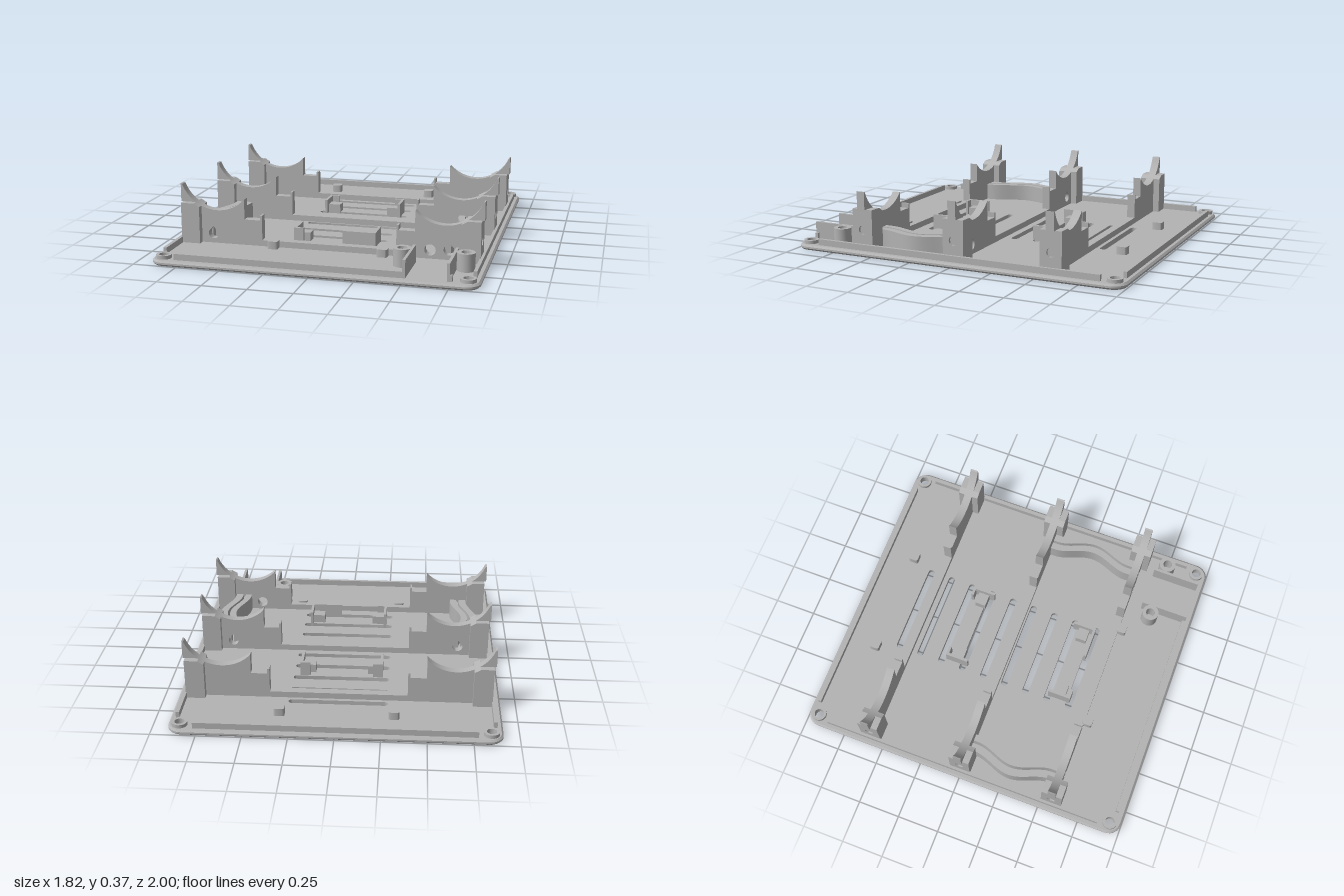
import * as THREE from 'three';
import { toCreasedNormals } from 'three/addons/utils/BufferGeometryUtils.js';

const grey = new THREE.MeshStandardMaterial({ color: 0xb3b3b3 });
grey.name = 'grey plastic';

const FLOOR = 0.03;
const RIB_Z = [-0.585, -0.009, 0.566];

export function createModel() {
  const root = new THREE.Group();

  const add = (geo, name, x = 0, y = 0, z = 0) => {
    const m = new THREE.Mesh(geo, grey);
    m.name = name;
    m.position.set(x, y, z);
    root.add(m);
    return m;
  };
  const box = (name, x0, x1, y0, y1, z0, z1) =>
    add(new THREE.BoxGeometry(x1 - x0, y1 - y0, z1 - z0), name, (x0 + x1) / 2, (y0 + y1) / 2, (z0 + z1) / 2);

  // Point helpers
  const circle = (cx, cy, r, a0 = 0, a1 = Math.PI * 2, n = 28) =>
    Array.from({ length: n }, (_, i) => {
      const a = a0 + ((a1 - a0) * i) / (a1 - a0 > 6.2 ? n : n - 1);
      return new THREE.Vector2(cx + r * Math.cos(a), cy + r * Math.sin(a));
    });
  const roundRect = (cx, cy, w, h, r) =>
    [[1, 1], [-1, 1], [-1, -1], [1, -1]].flatMap(([sx, sy], i) =>
      circle(cx + sx * (w / 2 - r), cy + sy * (h / 2 - r), r, (i * Math.PI) / 2, ((i + 1) * Math.PI) / 2, 8));
  const teardrop = (cx, cy, r) =>
    [new THREE.Vector2(cx, cy + r * 1.41), ...circle(cx, cy, r, Math.PI * 0.75, Math.PI * 2.25, 20)];

  // Extrusion along +z of a point outline with point holes
  const prism = (pts, depth, holes = [], bevel = 0) => {
    const s = new THREE.Shape(pts);
    s.holes = holes.map((h) => new THREE.Path(h));
    const g = new THREE.ExtrudeGeometry(s, {
      depth: depth - 2 * bevel, bevelEnabled: bevel > 0, bevelSize: bevel,
      bevelThickness: bevel, bevelOffset: -bevel, bevelSegments: 1,
    });
    g.translate(0, 0, bevel);
    return toCreasedNormals(g, 0.5);
  };
  // Plan outline (x, z) filling the heights y0 to y1
  const slab = (name, pts, y0, y1, holes = [], bevel = 0) =>
    add(prism(pts, y1 - y0, holes, bevel).rotateX(Math.PI / 2), name, 0, y1, 0);

  // Base plate with vents, screw holes and nut slots, inside a chamfered rim
  const screws = [-0.845, 0.845].flatMap((x) => [[x, -0.935], [x, 0.93]]);
  const holes = screws.map(([x, z]) => circle(x, z, 0.027));
  for (let i = 0; i < 9; i++) holes.push(roundRect(0, -0.65 + i * 0.139, 0.56, 0.04, 0.0195));
  for (const z of RIB_Z) for (const s of [-1, 1]) holes.push(roundRect(s * 0.815, z, 0.025, 0.05, 0.002));
  slab('basePlate', roundRect(0, 0, 1.8, 1.98, 0.07), 0, FLOOR, holes);
  slab('plateRim', roundRect(0, 0, 1.82, 2, 0.08), 0, FLOOR,
    [roundRect(0, 0, 1.765, 1.945, 0.053)], 0.01);

  // Corner screw bosses
  for (const [x, z] of screws)
    slab('screwBoss', circle(x, z, 0.043), FLOOR, 0.05, [circle(x, z, 0.027)]);

  // Locating rails round the edge
  const RAIL = 0.065;
  for (const s of [-1, 1])
    box('sideRail', s * 0.87 - 0.01, s * 0.87 + 0.01, 0.02, RAIL, -0.865, 0.86);
  box('backRail', -0.775, 0.77, 0.02, RAIL, -0.972, -0.952);
  box('frontRail', -0.775, 0.505, 0.02, RAIL, 0.942, 0.962);
  box('frontRailEnd', 0.75, 0.765, 0.02, RAIL, 0.942, 0.962);

  // Cradle ribs: a round saddle at each side, carried by a column
  const CX = 0.66, CY = 0.449, R = 0.225;
  const arcY = (x) => CY - Math.sqrt(R * R - (x - CX) ** 2);
  const arc = (x0, x1, n) => Array.from({ length: n + 1 }, (_, i) => {
    const x = x0 + ((x1 - x0) * i) / n;
    return [x, arcY(x)];
  });
  RIB_Z.forEach((z, i) => {
    box('lowRib', -0.4, 0.4, 0.02, RAIL, z - 0.024, z + 0.024);
    for (const s of [-1, 1]) {
      const flip = (pts) => pts.map(([x, y]) => new THREE.Vector2(s * x, y));
      const saddle = flip([
        [0.39, 0.02], [0.85, 0.02], [0.85, 0.265], [0.878, 0.265], [0.878, 0.37],
        ...arc(0.869, 0.495, 28), [0.495, 0.18], [0.402, 0.18], [0.402, 0.208], [0.39, 0.208],
      ]);
      const cuts = i > 0 ? [teardrop(s * 0.685, 0.085, 0.03)] : [];
      if (i === 2 && s > 0) cuts.push(circle(0.58, 0.08, 0.032));
      add(prism(saddle, 0.048, cuts), 'saddleRib', 0, 0, z - 0.024);

      const column = flip([[0.84, 0.02], [0.84, 0.265], ...arc(0.788, 0.755, 6), [0.755, 0.02]]);
      add(prism(column, 0.125), 'column', 0, 0, z - 0.0625);

      // Outer column face with its screw hole
      const face = [[-0.0625, 0.02], [0.0625, 0.02], [0.0625, 0.265], [-0.0625, 0.265]]
        .map(([a, b]) => new THREE.Vector2(a, b));
      add(prism(face, 0.025, [circle(0, 0.145, 0.025)]).rotateY(Math.PI / 2),
        'columnFace', s > 0 ? 0.84 : -0.865, 0, z);
    }
  });

  // Curved cable guides: two wavy walls with a narrow channel between
  const wave = (t) => 0.062 * (1 - Math.cos(2 * Math.PI * THREE.MathUtils.clamp((t - 0.06) / 0.88, 0, 1))) / 2;
  for (const s of [-1, 1]) {
    for (const [a, b] of [[0.65, 0.69], [0.705, 0.75]]) {
      const edge = (x) => Array.from({ length: 33 }, (_, i) =>
        new THREE.Vector2(s * (x + wave(i / 32)), 0.01 + (0.535 * i) / 32));
      slab('cableGuide', [...edge(a), ...edge(b).reverse()], 0.02, 0.13);
    }
  }

  // Circuit board holders
  const TOP = 0.115;
  for (const [z0, z1, endZ] of [[-0.345, -0.205, -0.345], [0.322, 0.462, 0.446]]) {
    const mid = (z0 + z1) / 2;
    for (const s of [-1, 1]) {
      box('holderWall', s * 0.234 - 0.008, s * 0.234 + 0.008, 0.02, TOP, z0, z1);
      box('holderBlock', s * 0.19 - 0.037, s * 0.19 + 0.037, 0.02, 0.08, mid - 0.032, mid + 0.034);
      const inner = s > 0 && z0 > 0 ? 0.05 : 0.183;
      box('holderStop', Math.min(s * inner, s * 0.24), Math.max(s * inner, s * 0.24), 0.02, TOP, endZ, endZ + 0.016);
    }
  }

  // Small locating lugs
  for (const x of [-0.317, 0.317]) for (const z of [-0.787, 0.607])
    slab('lug', roundRect(x, z, 0.06, 0.06, 0.012), 0.02, 0.075);

  // Socket bay at the front: side walls and two screw posts
  for (const x of [0.51, 0.745]) box('bayWall', x - 0.008, x + 0.008, 0.02, 0.13, 0.675, 0.962);
  for (const x of [0.456, 0.803])
    slab('screwPost', circle(x, 0.742, 0.05), 0.02, 0.13, [circle(x, 0.742, 0.027)]);

  return root;
}
